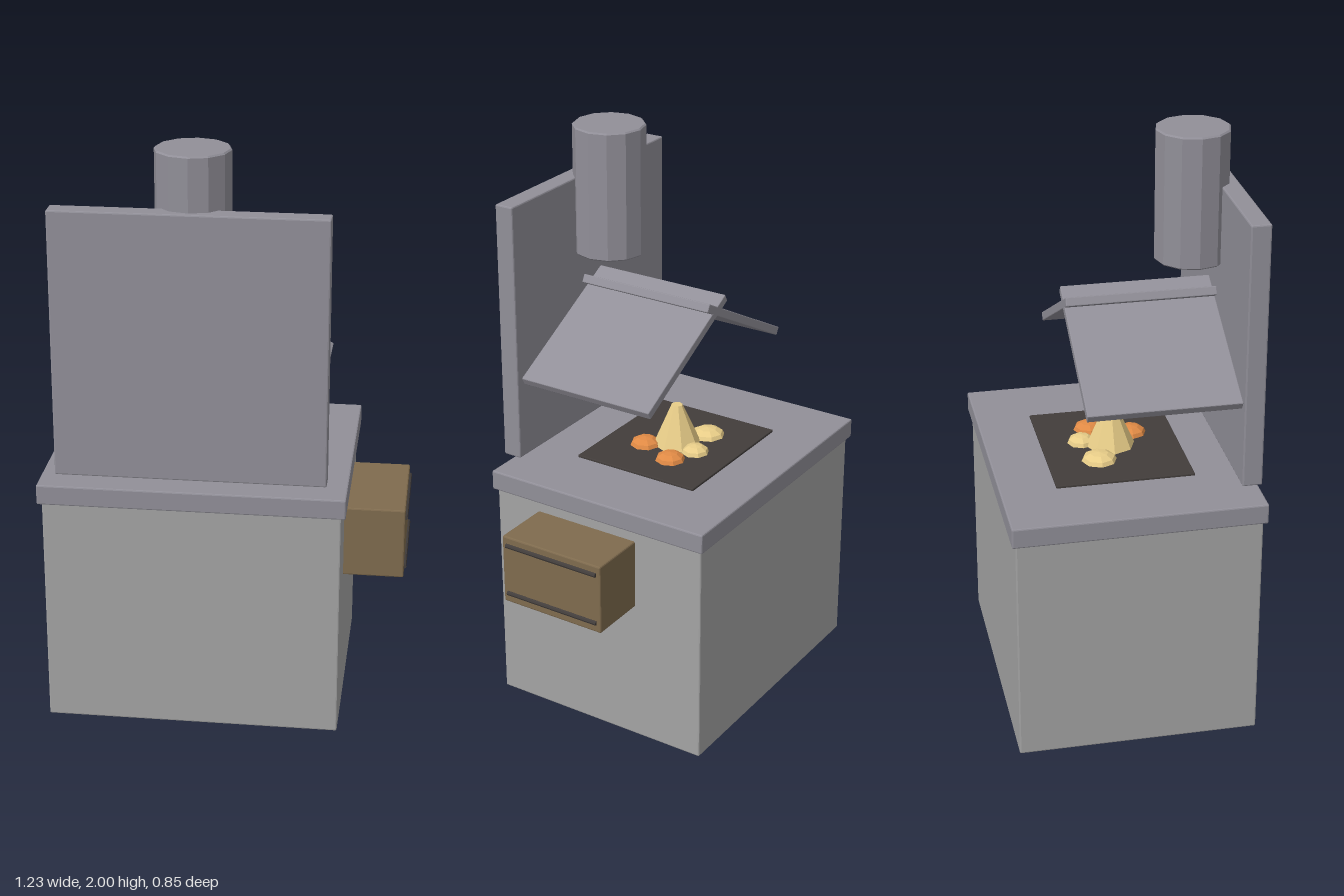
import * as THREE from 'three';
import { RoundedBoxGeometry } from 'three/addons/geometries/RoundedBoxGeometry.js';

const mat = (color) => new THREE.MeshStandardMaterial({ color, flatShading: true });

export function createModel() {
  const group = new THREE.Group();
  const stone = mat(0xa3a3a3), iron = mat(0x918f98), soot = mat(0x423d3b);
  const wood = mat(0x7f6b4e), flame = mat(0xe8cd88), ember = mat(0xe08a45);

  const add = (name, geometry, material, x, y, z) => {
    const mesh = new THREE.Mesh(geometry, material);
    mesh.name = name;
    mesh.position.set(x, y, z);
    group.add(mesh);
    return mesh;
  };
  // Box with slightly bevelled edges
  const box = (name, w, h, d, material, x, y, z, bevel = 0.005) =>
    add(name, new RoundedBoxGeometry(w, h, d, 1, bevel), material, x, y, z);

  // Hearth block, top slab and fire bed
  box('hearthBody', 1.0, 0.81, 0.82, stone, -0.1, 0.405, 0);
  box('hearthTop', 1.03, 0.07, 0.846, iron, -0.1, 0.84, 0);
  box('fireBed', 0.54, 0.016, 0.47, soot, -0.1, 0.875, 0, 0.003);

  // Wooden side box with two handle rods
  box('sideBox', 0.23, 0.25, 0.394, wood, 0.49, 0.64, 0.044);
  for (const y of [0.55, 0.732]) {
    const rod = add('sideBoxRod', new THREE.CylinderGeometry(0.008, 0.008, 0.362, 8), soot, 0.606, y, 0.044);
    rod.rotation.x = Math.PI / 2;
  }

  // Upright panel at the front
  box('panel', 0.9, 0.905, 0.067, iron, -0.1, 1.3675, 0.382);

  // Hood: two sloping slabs that cross at the ridge
  for (const side of [-1, 1]) {
    const slab = box('hoodSlab', 0.54, 0.03, 0.51, iron, -0.1 + side * 0.181, 1.32, 0.095, 0.003);
    slab.rotation.z = -side * THREE.MathUtils.degToRad(28);
  }

  // Chimney pipe with bevelled rims
  const pipe = [[0, 0], [0.12, 0], [0.125, 0.005], [0.125, 0.445], [0.12, 0.45], [0, 0.45]]
    .map(([r, y]) => new THREE.Vector2(r, y));
  add('chimney', new THREE.LatheGeometry(pipe, 12), iron, -0.1, 1.55, 0.272);

  // Flame and the embers around it
  add('flame', new THREE.CylinderGeometry(0.02, 0.086, 0.15, 8), flame, -0.1, 0.955, 0);
  const embers = [
    [-0.03, 0.086, 0.055, ember],
    [0.025, -0.052, 0.054, ember],
    [-0.07, -0.095, 0.05, flame],
    [-0.21, -0.06, 0.062, flame],
  ];
  for (const [x, z, r, material] of embers) {
    const lump = add('ember', new THREE.SphereGeometry(r, 8, 6), material, x, 0.88, z);
    lump.scale.y = 0.033 / r;
  }

  return group;
}
